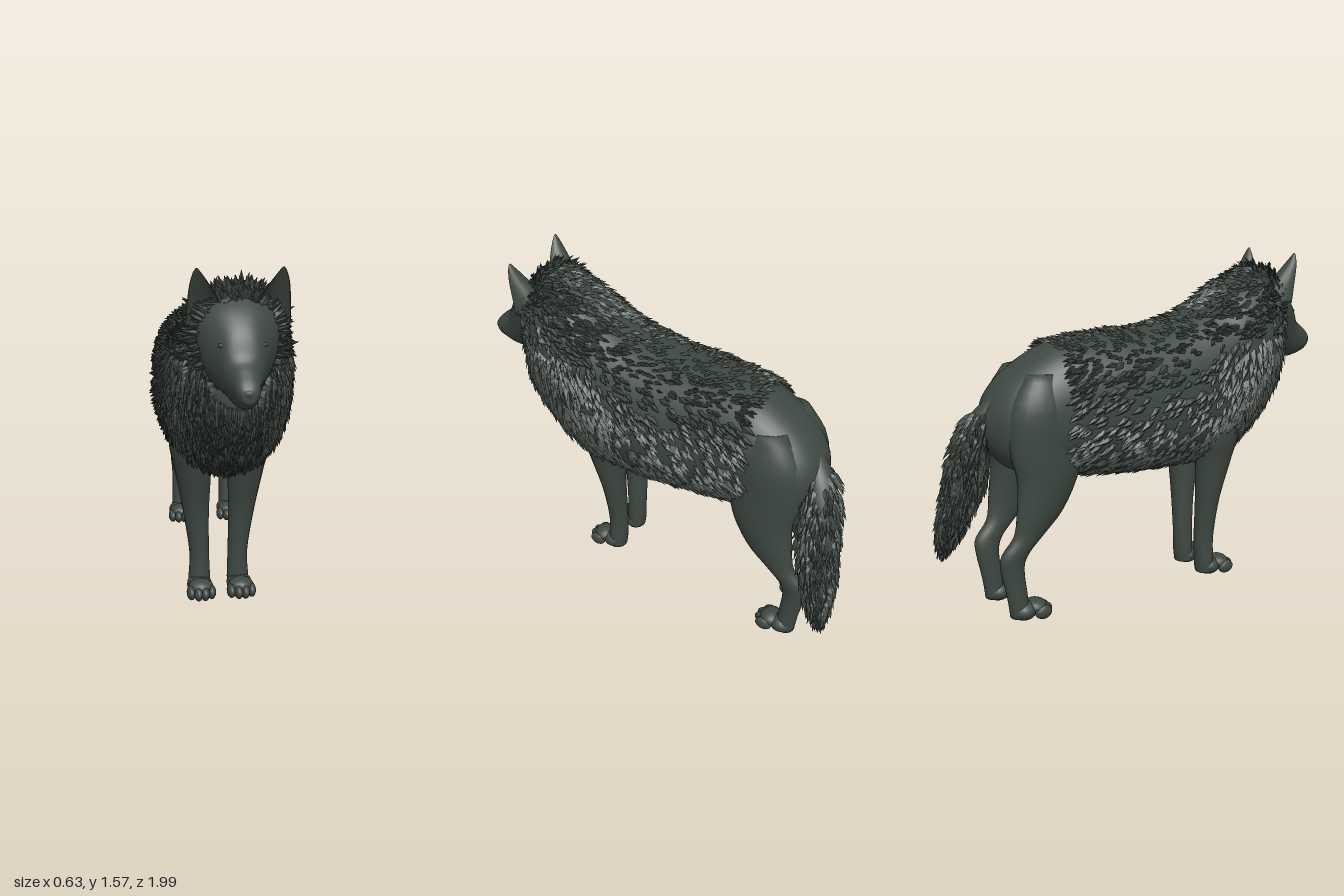
import * as THREE from 'three';
import { mergeGeometries } from 'three/addons/utils/BufferGeometryUtils.js';

const V = (x, y, z) => new THREE.Vector3(x, y, z);
const pow = (v, e) => Math.sign(v) * Math.abs(v) ** e;

// Seeded random numbers
let seed = 7;
const rnd = () => (seed = (seed * 16807) % 2147483647) / 2147483647;
const range = (a, b) => a + (b - a) * rnd();

// Smoothly interpolated row of section numbers, t from 0 to 1
function rowAt(rows, t) {
  const f = Math.min(Math.max(t, 0), 1) * (rows.length - 1);
  const i = Math.min(Math.floor(f), rows.length - 2), u = f - i;
  const get = k => rows[Math.min(Math.max(k, 0), rows.length - 1)];
  return rows[i].map((b, k) => {
    const a = get(i - 1)[k], c = get(i + 1)[k], d = get(i + 2)[k];
    return b + 0.5 * u * (c - a + u * (2 * a - 5 * b + 4 * c - d + u * (3 * (b - c) + d - a)));
  });
}

// Closed skin through the sections, turned outward by its signed volume
function loft(surface, steps, sides) {
  const pts = [], idx = [];
  for (let i = 0; i <= steps; i++)
    for (let j = 0; j < sides; j++) pts.push(surface(i / steps, (j / sides) * Math.PI * 2));
  const id = (i, j) => i * sides + (j % sides);
  for (let i = 0; i < steps; i++)
    for (let j = 0; j < sides; j++)
      idx.push(id(i, j), id(i, j + 1), id(i + 1, j), id(i + 1, j), id(i, j + 1), id(i + 1, j + 1));
  for (const [end, flip] of [[0, true], [steps, false]]) {
    const c = V(0, 0, 0);
    for (let j = 0; j < sides; j++) c.addScaledVector(pts[id(end, j)], 1 / sides);
    const k = pts.push(c) - 1;
    for (let j = 0; j < sides; j++)
      idx.push(k, id(end, flip ? j + 1 : j), id(end, flip ? j : j + 1));
  }
  let vol = 0;
  for (let i = 0; i < idx.length; i += 3)
    vol += pts[idx[i]].dot(pts[idx[i + 1]].clone().cross(pts[idx[i + 2]]));
  if (vol < 0) idx.reverse();
  const g = new THREE.BufferGeometry().setFromPoints(pts);
  g.setIndex(idx);
  g.computeVertexNormals();
  return g;
}

// Upright sections along z: [z, centreX, bottom, top, halfWidth]
const slices = (rows, e, egg = 0) => (t, a) => {
  const [z, cx, lo, hi, w] = rowAt(rows, t), s = pow(Math.sin(a), e);
  return V(cx + w * pow(Math.cos(a), e) * (1 + egg * s), (lo + hi) / 2 + (hi - lo) / 2 * s, z);
};
// Level sections along y: [y, centreX, centreZ, halfX, halfZ]
const levels = rows => (t, a) => {
  const [y, cx, cz, hx, hz] = rowAt(rows, t);
  return V(cx + hx * Math.cos(a), y, cz + hz * Math.sin(a));
};

// Pointed locks of fur lying along a surface
function fur(surface, centre, count, opt) {
  const pos = [];
  for (let n = 0; n < count; n++) {
    const t = range(opt.from, opt.to), a = range(0, Math.PI * 2);
    const p = surface(t, a);
    const ta = surface(t, a + 0.02).sub(p), tt = surface(Math.min(t + 0.01, 1), a).sub(p);
    const normal = ta.cross(tt).normalize();
    if (normal.lengthSq() < 0.5) continue;
    if (normal.dot(p.clone().sub(centre(t))) < 0) normal.negate();
    const dir = opt.flow(p).addScaledVector(V(range(-1, 1), range(-1, 1), range(-1, 1)), 0.2);
    dir.addScaledVector(normal, -dir.dot(normal)).normalize();
    const side = normal.clone().cross(dir).normalize();
    const size = range(0.75, 1.25) * opt.size(p), w = size * 0.2;
    const at = (d, s, h) => p.clone().addScaledVector(dir, d).addScaledVector(side, s).addScaledVector(normal, h);
    const root = at(-size * 0.2, 0, -0.008), tip = at(size, 0, opt.lift * range(0.6, 1.3));
    const l = at(size * 0.3, w, 0), r = at(size * 0.3, -w, 0), ridge = at(size * 0.4, 0, opt.lift * 0.75);
    for (const tri of [[root, ridge, l], [root, r, ridge], [ridge, tip, l], [ridge, r, tip]])
      for (const q of [tri[0], tri[2], tri[1]]) pos.push(q.x, q.y, q.z);
  }
  const g = new THREE.BufferGeometry();
  g.setAttribute('position', new THREE.Float32BufferAttribute(pos, 3));
  g.computeVertexNormals();
  return g;
}

export function createModel() {
  seed = 7;
  const model = new THREE.Group();
  model.name = 'wolf';
  const coat = new THREE.MeshStandardMaterial({ color: 0x3e4842, side: THREE.DoubleSide });
  coat.name = 'dark grey coat';
  const add = (name, geometry) => {
    const m = new THREE.Mesh(geometry, coat);
    m.name = name;
    model.add(m);
    return m;
  };
  const ball = (x, y, z, rx, ry, rz) =>
    new THREE.SphereGeometry(1, 16, 12).scale(rx, ry, rz).translate(x, y, z);

  // Torso, from rump to throat
  const torsoRows = [
    [-0.81, 0.05, 0.84, 0.94, 0.04], [-0.77, 0.05, 0.75, 1.02, 0.13], [-0.70, 0.04, 0.68, 1.10, 0.185],
    [-0.60, 0.03, 0.64, 1.17, 0.22], [-0.50, 0.02, 0.63, 1.22, 0.235], [-0.40, 0.01, 0.63, 1.24, 0.245],
    [-0.20, 0, 0.61, 1.25, 0.265], [0, 0, 0.60, 1.255, 0.28], [0.20, 0, 0.60, 1.295, 0.275],
    [0.35, 0, 0.61, 1.36, 0.265], [0.45, 0, 0.65, 1.42, 0.26], [0.55, 0, 0.73, 1.46, 0.245],
    [0.63, 0, 0.83, 1.48, 0.225], [0.69, 0, 0.92, 1.475, 0.175], [0.72, 0, 1.0, 1.42, 0.12]];
  const torso = slices(torsoRows, 0.88);
  add('torso', loft(torso, 56, 40));
  const mid = rows => t => { const r = rowAt(rows, t); return V(r[1], (r[2] + r[3]) / 2, r[0]); };
  add('bodyFur', fur(torso, mid(torsoRows), 3600, {
    from: 0.31, to: 0.99, lift: 0.022,
    flow: p => {
      const chest = THREE.MathUtils.smoothstep(p.z, 0.1, 0.65);
      return V(0, p.y > 1.2 ? -0.15 : -0.4 - 1.2 * chest, -1 + 0.6 * chest);
    },
    size: p => (p.y > 1.15 ? 0.05 : 0.075) + (p.z > 0.3 ? 0.015 : 0),
  }));

  // Head with tapering muzzle
  const headRows = [
    [0.56, 0, 1.08, 1.44, 0.15], [0.66, 0, 1.06, 1.47, 0.18], [0.74, 0, 1.05, 1.43, 0.155],
    [0.80, 0, 1.04, 1.38, 0.118], [0.85, 0, 1.03, 1.315, 0.088], [0.885, 0, 1.03, 1.235, 0.07],
    [0.93, 0, 1.04, 1.195, 0.056], [0.97, 0, 1.055, 1.16, 0.046], [0.995, 0, 1.08, 1.13, 0.028]];
  const head = slices(headRows, 0.9, 0.14);
  add('head', loft(head, 36, 32));
  add('cheekFur', fur(head, mid(headRows), 260, {
    from: 0.08, to: 0.24, lift: 0.035, flow: p => V(p.x * 2, (p.y - 1.35) * 2, -0.8), size: () => 0.085,
  }));
  add('nose', ball(0, 1.115, 0.975, 0.033, 0.025, 0.024));
  add('eyes', mergeGeometries([-1, 1].map(s => ball(s * 0.085, 1.275, 0.825, 0.014, 0.011, 0.016))));

  // Ears: cupped shells open to the front
  for (const s of [-1, 1]) {
    const rows = [[1.34, 0.135, 0.715, 0.078, 0.11], [1.42, 0.142, 0.728, 0.068, 0.09],
      [1.5, 0.16, 0.745, 0.042, 0.045], [1.55, 0.171, 0.753, 0.018, 0.016], [1.57, 0.173, 0.755, 0.004, 0.004]];
    const ear = (t, a) => {
      const [y, cx, cz, hx, hz] = rowAt(rows, t), k = Math.sin(a);
      return V(s * (cx + hx * Math.cos(a)), y, cz - hz * (k < 0 ? -k : 0.5 * k));
    };
    add(s > 0 ? 'leftEar' : 'rightEar', loft(ear, 14, 20));
  }

  // Paw with four toes
  const paw = (x, z) => mergeGeometries([
    ball(x, 0.045, z - 0.04, 0.058, 0.045, 0.06),
    ball(x, 0.055, z + 0.015, 0.058, 0.036, 0.055),
    ...[-1.5, -0.5, 0.5, 1.5].map(k =>
      ball(x + k * 0.031, 0.035, z + (Math.abs(k) > 1 ? 0.035 : 0.052), 0.021, 0.033, 0.042)),
  ]);

  // Legs: [y, sideways offset, z, halfX, halfZ]
  const frontRows = [
    [0.98, 0.14, 0.34, 0.08, 0.10], [0.75, 0.135, 0.32, 0.095, 0.115], [0.60, 0.12, 0.31, 0.082, 0.09],
    [0.40, 0.105, 0.29, 0.06, 0.06], [0.20, 0.09, 0.282, 0.046, 0.05], [0.08, 0.09, 0.285, 0.05, 0.048],
    [0.02, 0.09, 0.29, 0.05, 0.045]];
  const hindRows = [
    [1.12, 0.12, -0.58, 0.06, 0.07], [0.98, 0.125, -0.58, 0.105, 0.16], [0.80, 0.13, -0.575, 0.10, 0.175],
    [0.65, 0.14, -0.575, 0.085, 0.147], [0.50, 0.145, -0.62, 0.06, 0.113], [0.40, 0.14, -0.675, 0.043, 0.075],
    [0.32, 0.135, -0.743, 0.038, 0.068], [0.25, 0.13, -0.757, 0.036, 0.056], [0.12, 0.13, -0.738, 0.038, 0.048],
    [0.02, 0.13, -0.727, 0.045, 0.045]];
  for (const s of [-1, 1]) {
    const side = s > 0 ? 'left' : 'right';
    const leg = (rows, cx) => loft(levels(rows.map(([y, d, ...r]) => [y, cx + s * d, ...r])), 32, 24);
    add(side + 'FrontLeg', leg(frontRows, -0.02));
    add(side + 'FrontPaw', paw(-0.02 + s * 0.093, 0.35));
    add(side + 'HindLeg', leg(hindRows, 0.035));
    add(side + 'HindPaw', paw(0.035 + s * 0.132, -0.668));
  }

  // Hanging tail, swung to the left
  const tailRows = [
    [1.02, 0.04, -0.73, 0.04, 0.04], [0.90, 0.09, -0.80, 0.065, 0.07], [0.75, 0.14, -0.84, 0.078, 0.085],
    [0.60, 0.18, -0.85, 0.08, 0.09], [0.45, 0.215, -0.885, 0.07, 0.075], [0.33, 0.25, -0.91, 0.045, 0.048],
    [0.25, 0.27, -0.93, 0.01, 0.012]];
  const tail = levels(tailRows);
  add('tail', loft(tail, 28, 24));
  add('tailFur', fur(tail, t => { const r = rowAt(tailRows, t); return V(r[1], r[0], r[2]); }, 560, {
    from: 0.1, to: 0.93, lift: 0.02, flow: () => V(0.25, -1, -0.15), size: () => 0.075,
  }));
  return model;
}
